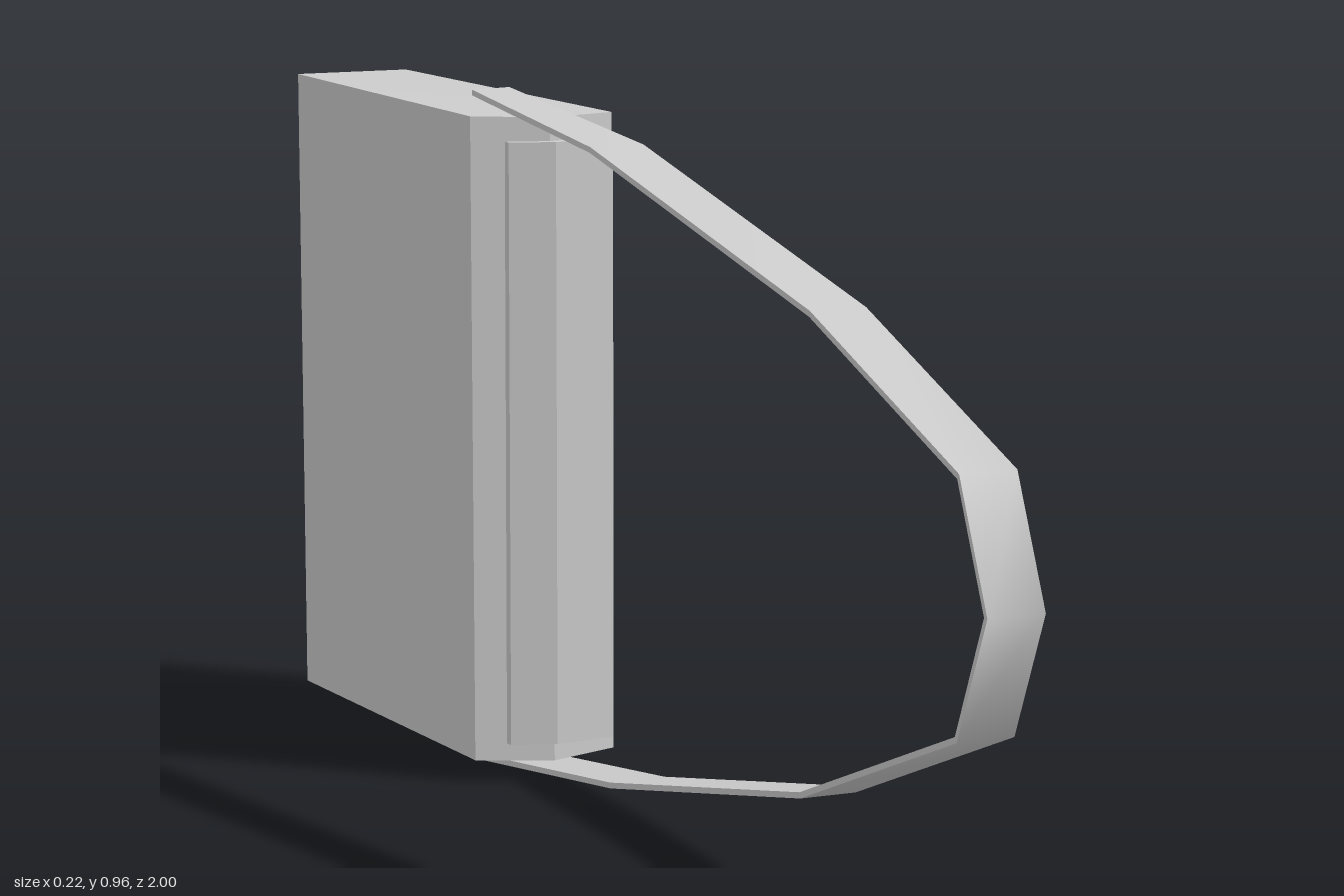
import * as THREE from 'three';
import { toCreasedNormals } from 'three/addons/utils/BufferGeometryUtils.js';

// Solid skin over matching rings, each counter-clockwise around the direction of travel
function loft(rings, crease) {
  const pos = [];
  const n = rings[0].length;
  const tri = (a, b, c) => pos.push(...a, ...b, ...c);
  for (let r = 0; r < rings.length - 1; r++) {
    const a = rings[r], b = rings[r + 1];
    for (let i = 0; i < n; i++) {
      const j = (i + 1) % n;
      tri(a[i], a[j], b[j]);
      tri(a[i], b[j], b[i]);
    }
  }
  const first = rings[0], last = rings[rings.length - 1];
  for (let i = 1; i < n - 1; i++) {
    tri(first[0], first[i + 1], first[i]);
    tri(last[0], last[i], last[i + 1]);
  }
  const g = new THREE.BufferGeometry();
  g.setAttribute('position', new THREE.Float32BufferAttribute(pos, 3));
  return toCreasedNormals(g, crease);
}

export function createModel() {
  const group = new THREE.Group();
  const material = new THREE.MeshStandardMaterial({ color: 0xcccccc });
  const add = (name, geometry) => {
    const mesh = new THREE.Mesh(geometry, material);
    mesh.name = name;
    group.add(mesh);
  };

  // Tapered bag body with a shallow ridge down its front
  add('body', loft([
    [[0.108, 0.032, -0.335], [0.09, 0.024, -1], [-0.085, 0.026, -1], [-0.108, 0.034, -0.335], [0, 0.03, -0.302]],
    [[0.106, 0.94, -0.335], [0.085, 0.948, -1], [-0.09, 0.948, -1], [-0.111, 0.943, -0.335], [-0.005, 0.94, -0.302]],
  ], 0.05));

  // Raised front panel folded along the same ridge
  const panel = [[0.09, -0.297], [0.09, -0.325], [-0.065, -0.335], [-0.065, -0.308], [-0.003, -0.286]];
  add('frontPanel', loft([0.057, 0.907].map(y => panel.map(([x, z]) => [x, y, z])), 0.05));

  // Strap path: z, y, left edge x, right edge x, skew of the edges along z
  const path = [
    [-0.47, 0.963, -0.05, 0.015, 0.008],
    [-0.08, 0.917, -0.05, 0.03, 0],
    [0.55, 0.77, -0.05, 0.03, 0],
    [0.928, 0.62, -0.05, 0.03, 0],
    [0.997, 0.46, -0.05, 0.03, 0],
    [0.928, 0.3, -0.05, 0.03, 0],
    [0.53, 0.152, -0.05, 0.03, 0],
    [-0.02, 0.055, -0.05, 0.033, 0],
    [-0.47, 0.007, -0.04, 0.038, 0.005],
  ];
  const half = 0.004;
  const rings = path.map(([z, y, x0, x1, skew], i) => {
    const p = path[Math.max(i - 1, 0)], q = path[Math.min(i + 1, path.length - 1)];
    const t = new THREE.Vector2(q[0] - p[0], q[1] - p[1]).normalize();
    const dz = -t.y * half, dy = t.x * half;
    return [
      [x0, y - dy, z - dz + skew], [x1, y - dy, z - dz - skew],
      [x1, y + dy, z + dz - skew], [x0, y + dy, z + dz + skew],
    ];
  });
  add('strap', loft(rings, 1.05));

  return group;
}
